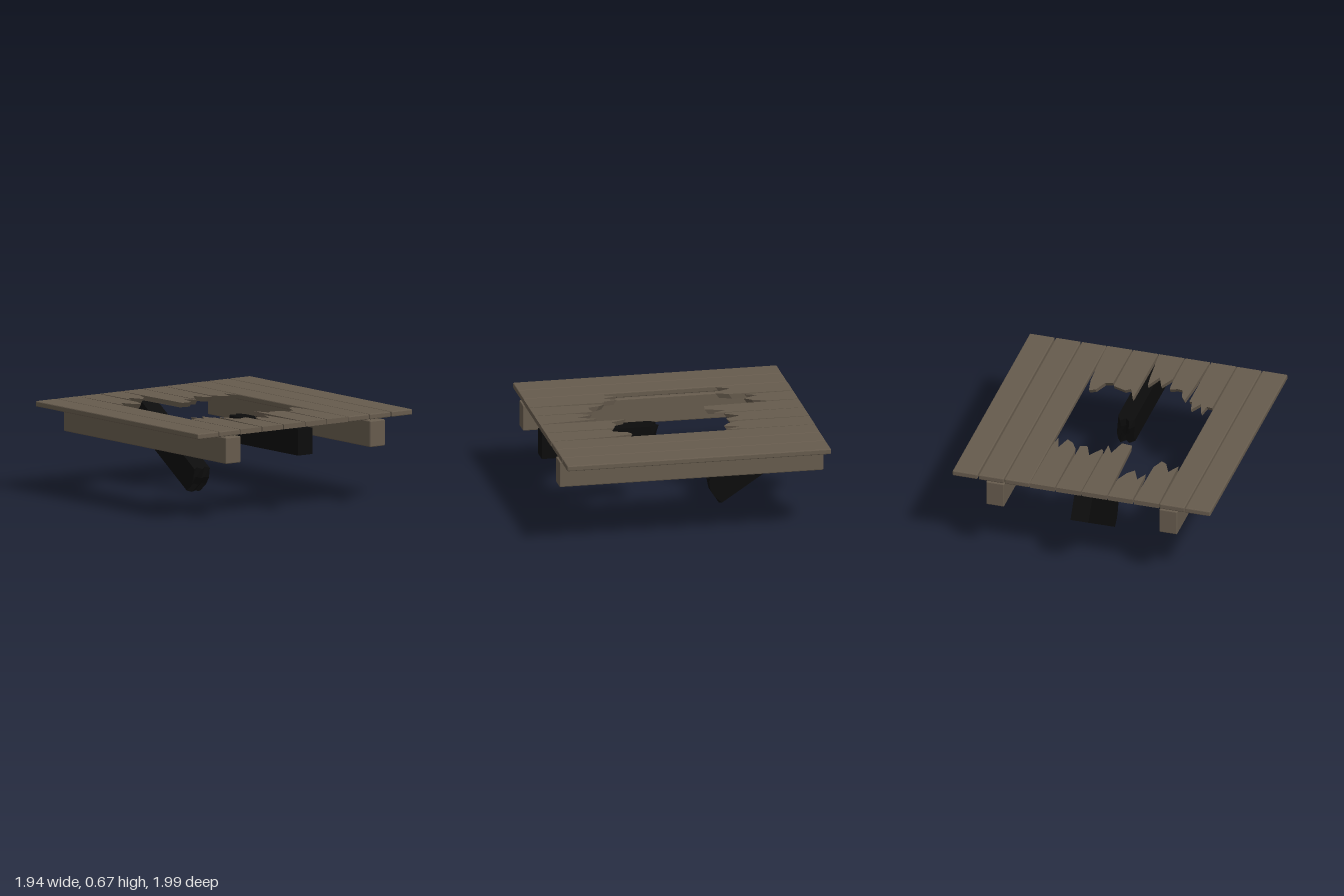
import * as THREE from 'three';
import { RoundedBoxGeometry } from 'three/addons/geometries/RoundedBoxGeometry.js';

const wood = new THREE.MeshStandardMaterial({ color: 0x665b4d, flatShading: true });
const charred = new THREE.MeshStandardMaterial({ color: 0x0c0c0c, flatShading: true });
const BACK = -0.95, FRONT = 0.99, PLANK_Y = 0.64, PLANK_H = 0.036;

function add(parent, name, geometry, material, x = 0, y = 0, z = 0) {
  const mesh = new THREE.Mesh(geometry, material);
  mesh.name = name;
  mesh.position.set(x, y, z);
  parent.add(mesh);
  return mesh;
}

// Plank stub seen from above: a straight sawn end and a splintered edge given as [x, z] points
function brokenPlank(x0, x1, endZ, edge) {
  const shape = new THREE.Shape();
  shape.moveTo(x0, -endZ);
  edge.forEach(([x, z]) => shape.lineTo(x, -z));
  shape.lineTo(x1, -endZ);
  const geo = new THREE.ExtrudeGeometry(shape, { depth: PLANK_H, bevelEnabled: false });
  geo.rotateX(-Math.PI / 2);
  // the underside of the splinters is torn back a little
  const p = geo.attributes.position;
  for (let i = 0; i < p.count; i++) {
    if (p.getY(i) < 0.001 && Math.abs(p.getZ(i) - endZ) > 0.05) {
      p.setZ(i, p.getZ(i) + Math.sign(endZ) * 0.025);
    }
  }
  geo.computeVertexNormals();
  return geo;
}

// Beam running from z = 0 (sawn) to z = -length, where the end is splintered
function brokenBeam(w, h, length, jag) {
  const geo = new THREE.BoxGeometry(w, h, length, 4, 3, 1);
  geo.translate(0, 0, -length / 2);
  const p = geo.attributes.position;
  for (let i = 0; i < p.count; i++) {
    if (p.getZ(i) > -length / 2) continue;
    const col = Math.round((p.getX(i) / w + 0.5) * 4);
    const row = Math.round((p.getY(i) / h + 0.5) * 3);
    p.setZ(i, p.getZ(i) + jag[row][col]);
  }
  geo.computeVertexNormals();
  return geo;
}

export function createModel() {
  const model = new THREE.Group();
  model.name = 'brokenPlatform';

  // Whole planks on both sides of the hole
  const planks = new THREE.Group();
  planks.name = 'wholePlanks';
  model.add(planks);
  [-0.877, -0.683, 0.482, 0.676, 0.873].forEach((x, i) => {
    const geo = new RoundedBoxGeometry(0.187, 0.04, FRONT - BACK, 1, 0.007);
    add(planks, 'plank' + (i + 1), geo, wood, x, 0.658, (FRONT + BACK) / 2);
  });

  // Splintered stubs around the hole: [left x, right x, back edge, front edge]
  const stubs = [
    [-0.585, -0.397,
      [[-0.575, -0.42], [-0.525, -0.515], [-0.48, -0.415], [-0.44, -0.39], [-0.405, -0.48]],
      [[-0.58, 0.40], [-0.54, 0.405], [-0.523, 0.315], [-0.487, 0.43], [-0.44, 0.335], [-0.418, 0.435], [-0.397, 0.44]]],
    [-0.388, -0.203,
      [[-0.38, -0.59], [-0.34, -0.675], [-0.29, -0.565], [-0.245, -0.615], [-0.217, -0.685], [-0.205, -0.71]],
      [[-0.375, 0.62], [-0.36, 0.44], [-0.328, 0.485], [-0.307, 0.57], [-0.27, 0.575], [-0.215, 0.555], [-0.208, 0.6]]],
    [-0.196, -0.006,
      [[-0.175, -0.25], [-0.095, -0.24], [-0.058, -0.385], [-0.008, -0.29]],
      [[-0.195, 0.695], [-0.18, 0.66], [-0.143, 0.58], [-0.1, 0.69], [-0.048, 0.56], [-0.032, 0.675]]],
    [0.0, 0.188,
      [[0.003, -0.38], [0.02, -0.355], [0.085, -0.46], [0.13, -0.35], [0.183, -0.36]],
      [[0.005, 0.36], [0.053, 0.48], [0.09, 0.45], [0.185, 0.485]]],
    [0.196, 0.385,
      [[0.2, -0.415], [0.245, -0.335], [0.295, -0.30], [0.328, -0.42], [0.365, -0.30], [0.38, -0.42]],
      [[0.2, 0.52], [0.255, 0.505], [0.295, 0.40], [0.34, 0.38], [0.365, 0.505], [0.378, 0.72]]],
  ];
  const broken = new THREE.Group();
  broken.name = 'brokenPlanks';
  model.add(broken);
  stubs.forEach(([x0, x1, back, front], i) => {
    add(broken, 'backStub' + (i + 1), brokenPlank(x0, x1, BACK, back), wood, 0, PLANK_Y);
    add(broken, 'frontStub' + (i + 1), brokenPlank(x0, x1, FRONT, front), wood, 0, PLANK_Y);
  });

  // Side support beams
  for (const [name, x] of [['rightBeam', -0.653], ['leftBeam', 0.648]]) {
    add(model, name, new RoundedBoxGeometry(0.135, 0.192, 1.94, 1, 0.007), wood, x, 0.532, 0.025);
  }

  // Snapped middle beam: the front half still in place
  const jagFront = [
    [0.06, 0.02, 0.05, 0.01, 0.06],
    [0.02, 0.05, 0.02, 0.06, 0.03],
    [0.05, 0.0, 0.05, 0.02, 0.05],
    [0.05, 0.01, 0.04, 0.0, 0.07],
  ];
  add(model, 'frontMiddleBeam', brokenBeam(0.13, 0.192, 0.865, jagFront), charred, -0.003, 0.532, 0.99);

  // The back half has dropped, its broken end resting low under the hole
  const jagFallen = [
    [0.02, 0.0, 0.01, 0.0, 0.02],
    [0.0, 0.015, 0.0, 0.02, 0.0],
    [0.0, 0.01, 0.0, 0.02, 0.01],
    [0.03, 0.05, 0.025, 0.05, 0.035],
  ];
  const fallen = add(model, 'fallenMiddleBeam', brokenBeam(0.136, 0.19, 0.81, jagFallen), charred, -0.002, 0.53, -0.943);
  fallen.rotation.set(-0.581, Math.PI, 0);
  fallen.rotation.order = 'YXZ';
  return model;
}
